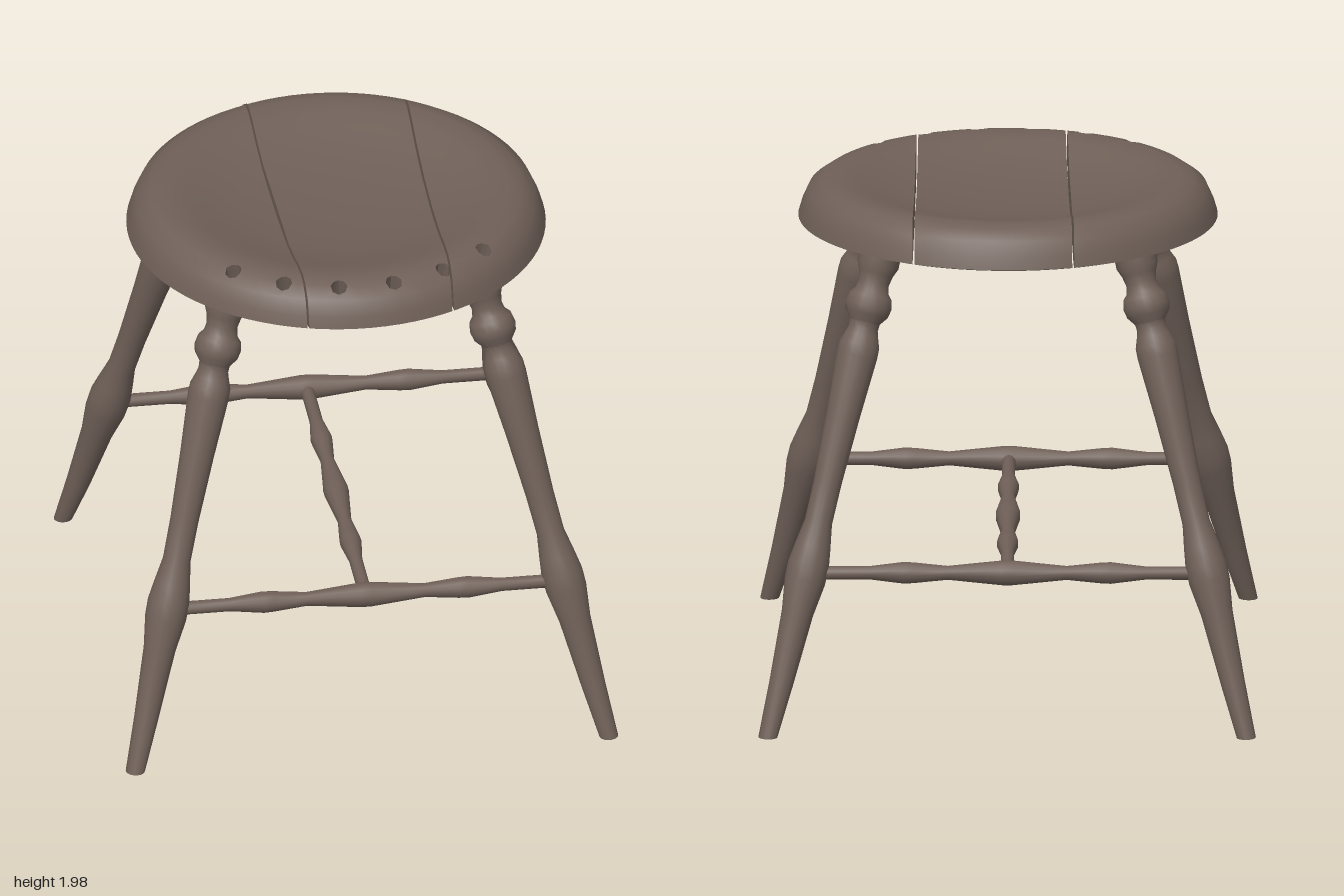
import * as THREE from 'three';
import { toCreasedNormals } from 'three/addons/utils/BufferGeometryUtils.js';

const wood = new THREE.MeshStandardMaterial({ color: 0x6f6058, side: THREE.DoubleSide });
wood.name = 'brown wood';

function addMesh(parent, name, geometry) {
  const mesh = new THREE.Mesh(geometry, wood);
  mesh.name = name;
  parent.add(mesh);
  return mesh;
}

// Turned part: [radius, height] profile spun around y
function turned(profile, sides) {
  const pts = profile.map(([r, y]) => new THREE.Vector2(r, y));
  return toCreasedNormals(new THREE.LatheGeometry(pts, sides), 0.6);
}

// Seat profile [radius, y]: dished top, rounded rim, bevelled underside
const SEAT = [
  [0, 1.895], [0.2, 1.9], [0.38, 1.915], [0.5, 1.94], [0.58, 1.963], [0.665, 1.976],
  [0.72, 1.965], [0.77, 1.93], [0.797, 1.87], [0.81, 1.825], [0.77, 1.812],
  [0.73, 1.804], [0.68, 1.798], [0.63, 1.79], [0, 1.79],
];
const TOP_ROW = 6, BOTTOM_ROW = 12; // profile rows the drilled holes are centred on
const COLS = 84;
const HOLES = [-10, -6, -2, 2, 6, 10]; // columns of the holes along the front
const tilt = (y, z) => y - 0.008 * z;

// Whole seat, with six holes drilled through
function seatBlank() {
  const pos = [];
  const point = (j, i) => {
    const a = THREE.MathUtils.degToRad(1.2) + (i / COLS) * Math.PI * 2;
    const [r, y] = SEAT[j];
    const z = r * Math.cos(a);
    return new THREE.Vector3(r * Math.sin(a), tilt(y, z), z);
  };
  const quad = (a, b, c, d) => [a, b, c, a, c, d].forEach((v) => pos.push(v.x, v.y, v.z));
  const holeRows = [TOP_ROW - 1, TOP_ROW, BOTTOM_ROW - 1, BOTTOM_ROW];
  for (let j = 0; j < SEAT.length - 1; j++) {
    for (let i = -COLS / 2; i < COLS / 2; i++) {
      if (holeRows.includes(j) && HOLES.some((h) => i === h || i === h - 1)) continue;
      quad(point(j, i), point(j + 1, i), point(j + 1, i + 1), point(j, i + 1));
    }
  }
  // Eight-sided hole rims and the bore between them
  const around = [[-1, -1], [0, -1], [1, -1], [1, 0], [1, 1], [0, 1], [-1, 1], [-1, 0]];
  for (const h of HOLES) {
    const rim = (row, flip) => {
      const outer = around.map(([dj, di]) => point(row + dj * flip, h + di));
      const inner = outer.map((p, k) => point(row, h).lerp(p, k % 2 ? 0.6 : 0.42));
      for (let k = 0; k < 8; k++) {
        const n = (k + 1) % 8;
        if (flip > 0) quad(outer[k], outer[n], inner[n], inner[k]);
        else quad(outer[n], outer[k], inner[k], inner[n]);
      }
      return inner;
    };
    const top = rim(TOP_ROW, 1), bottom = rim(BOTTOM_ROW, -1);
    for (let k = 0; k < 8; k++) {
      const n = (k + 1) % 8;
      quad(top[k], top[n], bottom[n], bottom[k]);
    }
  }
  const g = new THREE.BufferGeometry();
  g.setAttribute('position', new THREE.Float32BufferAttribute(pos, 3));
  return toCreasedNormals(g, 0.7);
}

// Keep the side of a geometry where side * (x - x0 - slope * z) > 0
function clip(geometry, { x0, slope }, side) {
  const P = geometry.attributes.position, N = geometry.attributes.normal;
  const pos = [], nor = [];
  const dist = (v) => side * (v.p.x - x0 - slope * v.p.z);
  for (let t = 0; t < P.count; t += 3) {
    const tri = [0, 1, 2].map((k) => ({
      p: new THREE.Vector3().fromBufferAttribute(P, t + k),
      n: new THREE.Vector3().fromBufferAttribute(N, t + k),
    }));
    const poly = [];
    tri.forEach((a, k) => {
      const b = tri[(k + 1) % 3], da = dist(a), db = dist(b);
      if (da >= 0) poly.push(a);
      if (da * db < 0) {
        const f = da / (da - db);
        poly.push({ p: a.p.clone().lerp(b.p, f), n: a.n.clone().lerp(b.n, f).normalize() });
      }
    });
    for (let k = 1; k < poly.length - 1; k++) {
      for (const v of [poly[0], poly[k], poly[k + 1]]) {
        pos.push(v.p.x, v.p.y, v.p.z);
        nor.push(v.n.x, v.n.y, v.n.z);
      }
    }
  }
  const g = new THREE.BufferGeometry();
  g.setAttribute('position', new THREE.Float32BufferAttribute(pos, 3));
  g.setAttribute('normal', new THREE.Float32BufferAttribute(nor, 3));
  return g;
}

// Flat edge of a plank along a cut
function plankEdge({ x0, slope }) {
  const half = SEAT.filter(([r]) => r > Math.abs(x0))
    .map(([r, y]) => [Math.sqrt(r * r - x0 * x0), y]);
  const outline = [...half, ...half.slice().reverse().map(([z, y]) => [-z, y])];
  const g = new THREE.ShapeGeometry(
    new THREE.Shape(outline.map(([z, y]) => new THREE.Vector2(z, tilt(y, z)))));
  const p = g.attributes.position;
  for (let i = 0; i < p.count; i++) {
    const z = p.getX(i);
    p.setXYZ(i, x0 + slope * z, p.getY(i), z);
  }
  g.computeVertexNormals();
  return g;
}

function buildSeat() {
  const seat = new THREE.Group();
  seat.name = 'seat';
  const blank = seatBlank();
  const gap = 0.004;
  const cut = (x0, slope, shift) => ({ x0: x0 + shift, slope });
  const left = (s) => cut(-0.238, 0.022, s * gap), right = (s) => cut(0.357, -0.008, s * gap);
  addMesh(seat, 'rightPlank', clip(blank, left(-1), -1));
  addMesh(seat, 'middlePlank', clip(clip(blank, left(1), 1), right(-1), -1));
  addMesh(seat, 'leftPlank', clip(blank, right(1), 1));
  for (const s of [-1, 1]) {
    addMesh(seat, 'plankEdge', plankEdge(left(s)));
    addMesh(seat, 'plankEdge', plankEdge(right(s)));
  }
  return seat;
}

// Turned leg leaning outwards, its foot cut level with the floor
function legGeometry(sx, sz) {
  const foot = new THREE.Vector3(0.92 * sx, 0, 0.96 * sz);
  const axis = new THREE.Vector3(0.49 * sx, 1.8, 0.46 * sz).sub(foot);
  const stretch = axis.length() / 1.8;
  const g = turned([
    [0, -0.015], [0.038, -0.015], [0.047, 0.2], [0.062, 0.46], [0.08, 0.58], [0.081, 0.64],
    [0.07, 0.71], [0.054, 0.8], [0.055, 0.95], [0.066, 1.2], [0.08, 1.42], [0.079, 1.46],
    [0.066, 1.495], [0.058, 1.52], [0.06, 1.545], [0.084, 1.575], [0.091, 1.605],
    [0.084, 1.64], [0.066, 1.66], [0.06, 1.69], [0.068, 1.725], [0.082, 1.755],
    [0.082, 1.83], [0, 1.83],
  ].map(([r, y]) => [r, y * stretch]), 18);
  g.applyQuaternion(new THREE.Quaternion().setFromUnitVectors(
    new THREE.Vector3(0, 1, 0), axis.normalize()));
  g.translate(foot.x, foot.y, foot.z);
  const p = g.attributes.position;
  for (let i = 0; i < p.count; i++) if (p.getY(i) < 0.02) p.setY(i, 0);
  return g;
}

// Stretcher with a swelling in the middle and one on each side
function stretcherGeometry(length) {
  const h = length / 2;
  const half = [[0.026, h], [0.026, 0.53], [0.042, 0.4], [0.04, 0.36], [0.027, 0.23], [0.048, 0.02]];
  return turned([[0, -h], ...half.map(([r, y]) => [r, -y]), ...half.slice().reverse(), [0, h]], 14);
}

export function createModel() {
  const stool = new THREE.Group();
  stool.name = 'stool';
  stool.add(buildSeat());
  for (const sz of [1, -1]) {
    const end = sz > 0 ? 'front' : 'back';
    for (const sx of [1, -1]) {
      addMesh(stool, end + (sx > 0 ? 'LeftLeg' : 'RightLeg'), legGeometry(sx, sz));
    }
    const rail = addMesh(stool, end + 'Stretcher', stretcherGeometry(1.5));
    rail.rotation.z = Math.PI / 2;
    rail.position.set(0, 0.61, 0.79 * sz);
  }
  const middle = addMesh(stool, 'middleStretcher', stretcherGeometry(1.56));
  middle.rotation.x = Math.PI / 2;
  middle.position.y = 0.61;
  return stool;
}
